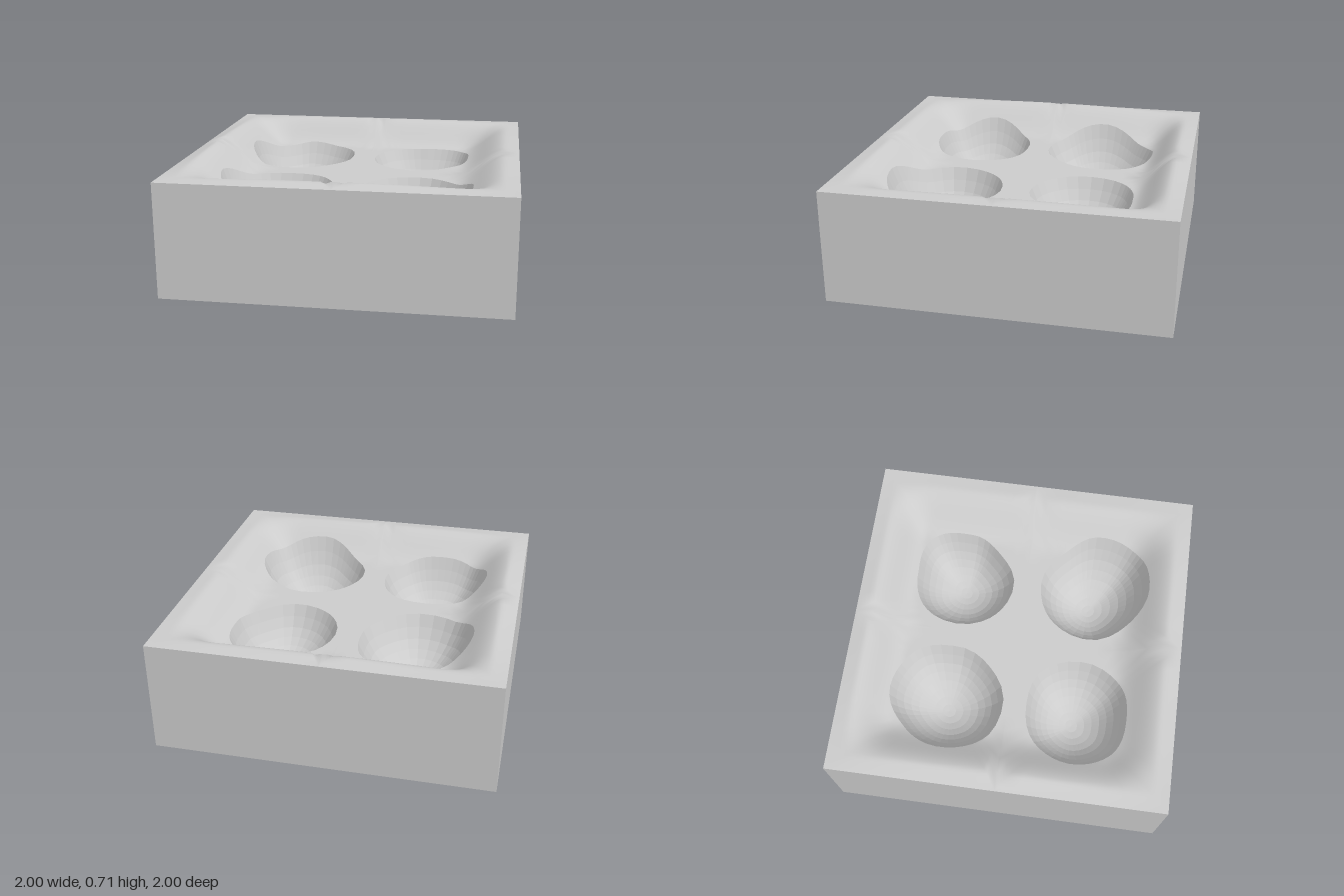
import * as THREE from 'three';
import { mergeGeometries, mergeVertices } from 'three/addons/utils/BufferGeometryUtils.js';

const WALL = 0.68;      // height of the block's outer edge
const PER_SIDE = 10;    // segments along each side of a quarter of the top
const N = PER_SIDE * 4;

// rim centre, bowl bottom, floor height, rim radii every 45 degrees from +x towards +z
const craters = [
  { c: [-0.43, -0.36], pole: [-0.44, -0.38], floor: 0.24, r: [0.33, 0.31, 0.33, 0.34, 0.34, 0.33, 0.37, 0.37] },
  { c: [0.36, -0.38], pole: [0.38, -0.39], floor: 0.25, r: [0.31, 0.28, 0.31, 0.31, 0.31, 0.32, 0.31, 0.36] },
  { c: [-0.43, 0.42], pole: [-0.44, 0.4], floor: 0.25, r: [0.33, 0.32, 0.3, 0.33, 0.34, 0.32, 0.31, 0.34] },
  { c: [0.4, 0.44], pole: [0.36, 0.42], floor: 0.23, r: [0.34, 0.36, 0.34, 0.32, 0.35, 0.35, 0.34, 0.31] },
];

// bowl section: [fraction of the rim radius, fraction of the depth left above the floor]
const bowlProfile = [[0, 0], [0.12, 0.01], [0.26, 0.05], [0.4, 0.12], [0.54, 0.22],
  [0.67, 0.36], [0.79, 0.53], [0.9, 0.75], [1, 1]];

const { lerp, smoothstep } = THREE.MathUtils;

// height of the ground: a low crest just inside the border, then a wide shallow dish
function groundHeight(x, z) {
  const dx = 1 - Math.abs(x), dz = 1 - Math.abs(z);
  const d = Math.min(dx, dz);
  const side = dx < dz ? (x < 0 ? 0.035 * (1 - z * z) : 0.01 * (1 - z * z))
    : 0.02 * (1 - x * x);
  const dish = smoothstep(dx, 0.08, 0.38) * smoothstep(dz, 0.08, z < 0 ? 0.32 : 0.38);
  return WALL + side * Math.min(d / 0.1, 1) * (1 - dish) - 0.15 * dish;
}

// rim radius at an angle, blended between the eight given radii
function rimRadius(r, angle) {
  const f = ((angle / (Math.PI / 4)) % 8 + 8) % 8;
  const i = Math.floor(f) % 8;
  return lerp(r[i], r[(i + 1) % 8], smoothstep(f - Math.floor(f), 0, 1));
}

// surface through closed rows of points, from the inside outwards, facing up
function loft(rows) {
  const index = [];
  for (let j = 0; j < rows.length - 1; j++) {
    for (let i = 0; i < N; i++) {
      const a = j * N + i, b = j * N + (i + 1) % N;
      if (j > 0 || rows[0][0].distanceTo(rows[0][1]) > 1e-6) index.push(a, b, b + N);
      index.push(a, b + N, a + N);
    }
  }
  const geometry = new THREE.BufferGeometry().setFromPoints(rows.flat());
  geometry.setIndex(index);
  return geometry;
}

// evenly spaced points around one quarter of the square top
function quarterBorder(sx, sz) {
  const corners = [[1, -1], [1, 1], [-1, 1], [-1, -1]];
  return Array.from({ length: N }, (_, i) => {
    const k = Math.floor(i / PER_SIDE), t = (i % PER_SIDE) / PER_SIDE;
    const a = corners[k], b = corners[(k + 1) % 4];
    return [sx * 0.5 + 0.5 * lerp(a[0], b[0], t), sz * 0.5 + 0.5 * lerp(a[1], b[1], t)];
  });
}

export function createModel() {
  const model = new THREE.Group();
  const smooth = new THREE.MeshStandardMaterial({ color: 0xcccccc, side: THREE.DoubleSide });
  const faceted = new THREE.MeshStandardMaterial({ color: 0xcccccc, flatShading: true, side: THREE.DoubleSide });
  const add = (geometry, material, name) => {
    geometry.computeVertexNormals();
    const mesh = new THREE.Mesh(geometry, material);
    mesh.name = name;
    model.add(mesh);
  };

  // block: four walls and a base, left open at the top
  const box = new THREE.BoxGeometry(2, WALL, 2).translate(0, WALL / 2, 0);
  const faces = Array.from(box.index.array);
  faces.splice(12, 6);
  box.setIndex(faces);
  box.clearGroups();
  add(box, smooth, 'block');

  // each quarter: ground from the crater rim out to the quarter's border, and a bowl inside the rim
  const quarters = [];
  craters.forEach(({ c, pole, floor, r }, n) => {
    const border = quarterBorder(Math.sign(c[0]), Math.sign(c[1]));
    const rim = border.map(([x, z]) => {
      const angle = Math.atan2(z - c[1], x - c[0]);
      const radius = rimRadius(r, angle);
      const px = c[0] + radius * Math.cos(angle), pz = c[1] + radius * Math.sin(angle);
      return new THREE.Vector3(px, groundHeight(px, pz), pz);
    });

    const rings = 16;
    quarters.push(loft(Array.from({ length: rings + 1 }, (_, j) => rim.map((p, i) => {
      const x = lerp(p.x, border[i][0], j / rings), z = lerp(p.z, border[i][1], j / rings);
      return new THREE.Vector3(x, groundHeight(x, z), z);
    }))));

    const bowl = loft(bowlProfile.map(([t, h]) => rim.map((p) =>
      new THREE.Vector3(lerp(pole[0], p.x, t), lerp(floor, p.y, h), lerp(pole[1], p.z, t)))));
    add(bowl, faceted, `craterBowl${n + 1}`);
  });
  add(mergeVertices(mergeGeometries(quarters), 1e-4), smooth, 'ground');

  return model;
}
